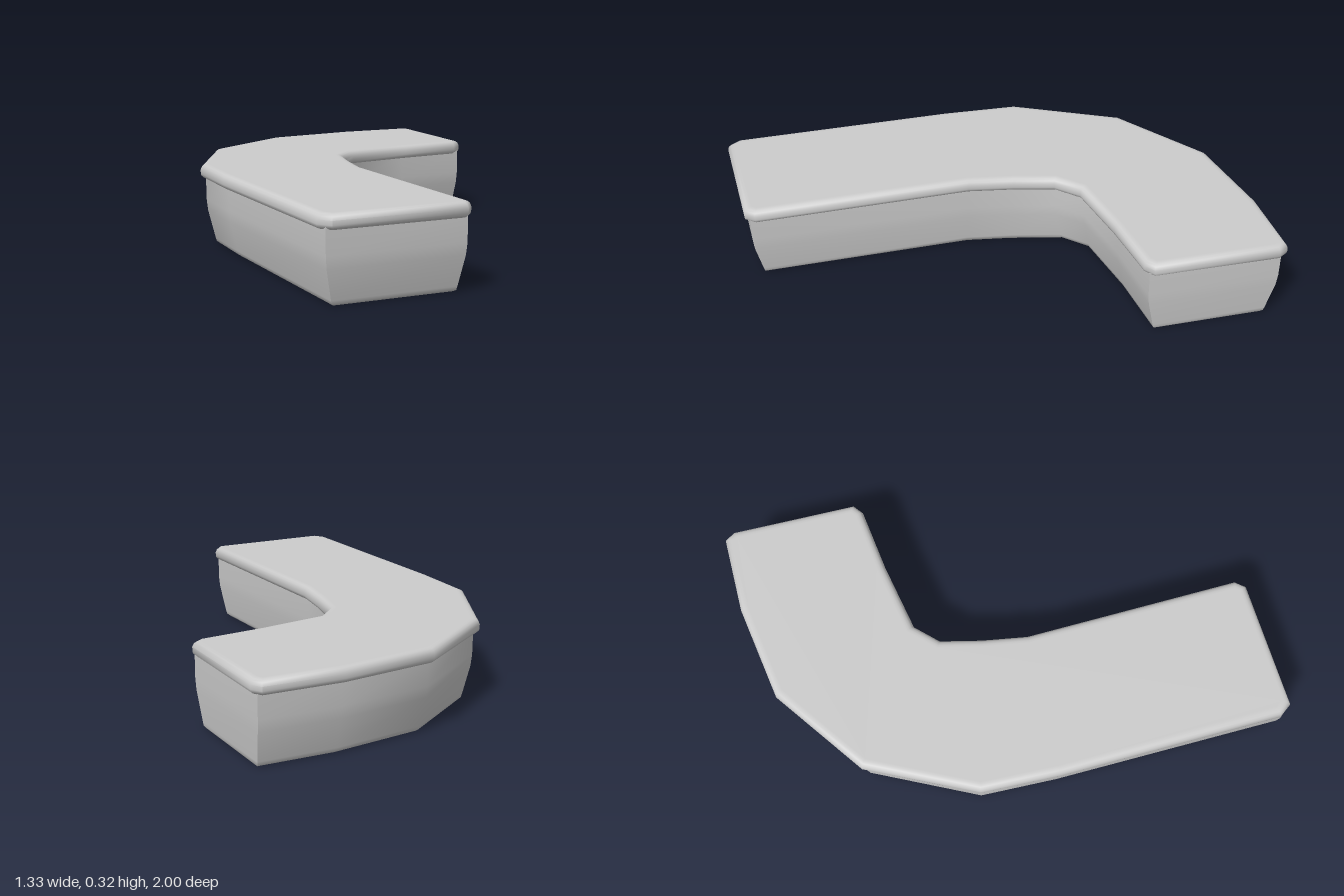
import * as THREE from 'three';
import { toCreasedNormals } from 'three/addons/utils/BufferGeometryUtils.js';

// Plan outlines as [x, z, taper of the edge that starts here (1 if left out)],
// running from the front end round the outer bend and back along the inner one
const TOP_OUTLINE = [
  [-0.625, 1], [-0.66, 0.95], [-0.665, 0.05], [-0.65, -0.26], [-0.44, -0.68],
  [-0.07, -0.94], [0.32, -1], [0.635, -1], [0.66, -0.96], [0.65, -0.46],
  [0.61, -0.43], [0.35, -0.398], [0.07, -0.347], [-0.015, -0.262], [-0.055, -0.1],
  [-0.087, 0.08], [-0.078, 0.95], [-0.11, 0.988],
];
const BODY_OUTLINE = [
  [-0.64, 0.978], [-0.643, 0.05], [-0.63, -0.255], [-0.425, -0.66], [-0.06, -0.915],
  [0.32, -0.975], [0.64, -0.975, 0.4], [0.635, -0.445], [0.34, -0.418], [0.06, -0.368],
  [-0.038, -0.27, 0.6], [-0.078, -0.1, 0.6], [-0.108, 0.08, 0.6], [-0.1, 0.968],
];

// Vertical sections as [inset, y], bottom to top
const TOP_SECTION = [
  [0.035, 0.27], [0.012, 0.27], [0.002, 0.278], [0, 0.287], [0, 0.303],
  [0.005, 0.315], [0.013, 0.322], [0.024, 0.325], [0.034, 0.325],
];
const BODY_SECTION = [
  [0.07, 0], [0.048, 0], [0.038, 0.006], [0.034, 0.02], [0.006, 0.135], [0.001, 0.18], [0, 0.28],
];

// Inset of a closed outline, each edge moving inward by its own share of d
function inset(outline, d) {
  const n = outline.length;
  const inward = (a, b) => new THREE.Vector2(a[1] - b[1], b[0] - a[0]).normalize();
  return outline.map((p, i) => {
    const prev = outline[(i + n - 1) % n];
    const n1 = inward(prev, p);
    const n2 = inward(p, outline[(i + 1) % n]);
    const [, , w1 = 1] = prev;
    const [, , w2 = 1] = p;
    const c = n1.dot(n2);
    const k1 = d * (w1 - w2 * c) / (1 - c * c);
    const k2 = d * (w2 - w1 * c) / (1 - c * c);
    return [p[0] + n1.x * k1 + n2.x * k2, p[1] + n1.y * k1 + n2.y * k2];
  });
}

// Stack inset rings into walls and close both ends
function loft(outline, section) {
  const n = outline.length;
  const positions = [];
  const index = [];
  for (const [d, y] of section) {
    for (const [x, z] of inset(outline, d)) positions.push(x, y, z);
  }
  for (let r = 0; r < section.length - 1; r++) {
    for (let i = 0; i < n; i++) {
      const a = r * n + i;
      const b = r * n + (i + 1) % n;
      index.push(b, a, a + n, b, a + n, b + n);
    }
  }
  // Lower cap faces down, upper cap faces up
  const flat = outline.map(([x, z]) => new THREE.Vector2(x, z));
  const last = (section.length - 1) * n;
  for (const [a, b, c] of THREE.ShapeUtils.triangulateShape(flat, [])) {
    const facesDown = THREE.ShapeUtils.area([flat[a], flat[b], flat[c]]) > 0;
    const [p, q] = facesDown ? [b, c] : [c, b];
    index.push(a, p, q, last + a, last + q, last + p);
  }
  const geometry = new THREE.BufferGeometry();
  geometry.setAttribute('position', new THREE.Float32BufferAttribute(positions, 3));
  geometry.setIndex(index);
  return toCreasedNormals(geometry, 0.95);
}

export function createModel() {
  const group = new THREE.Group();
  group.name = 'curvedCounter';
  const grey = new THREE.MeshStandardMaterial({ color: 0xcccccc });
  grey.name = 'light grey';

  // Tapered base and overhanging rounded top
  const parts = [
    ['counterBase', BODY_OUTLINE, BODY_SECTION],
    ['counterTop', TOP_OUTLINE, TOP_SECTION],
  ];
  for (const [name, outline, section] of parts) {
    const mesh = new THREE.Mesh(loft(outline, section), grey);
    mesh.name = name;
    group.add(mesh);
  }
  return group;
}
